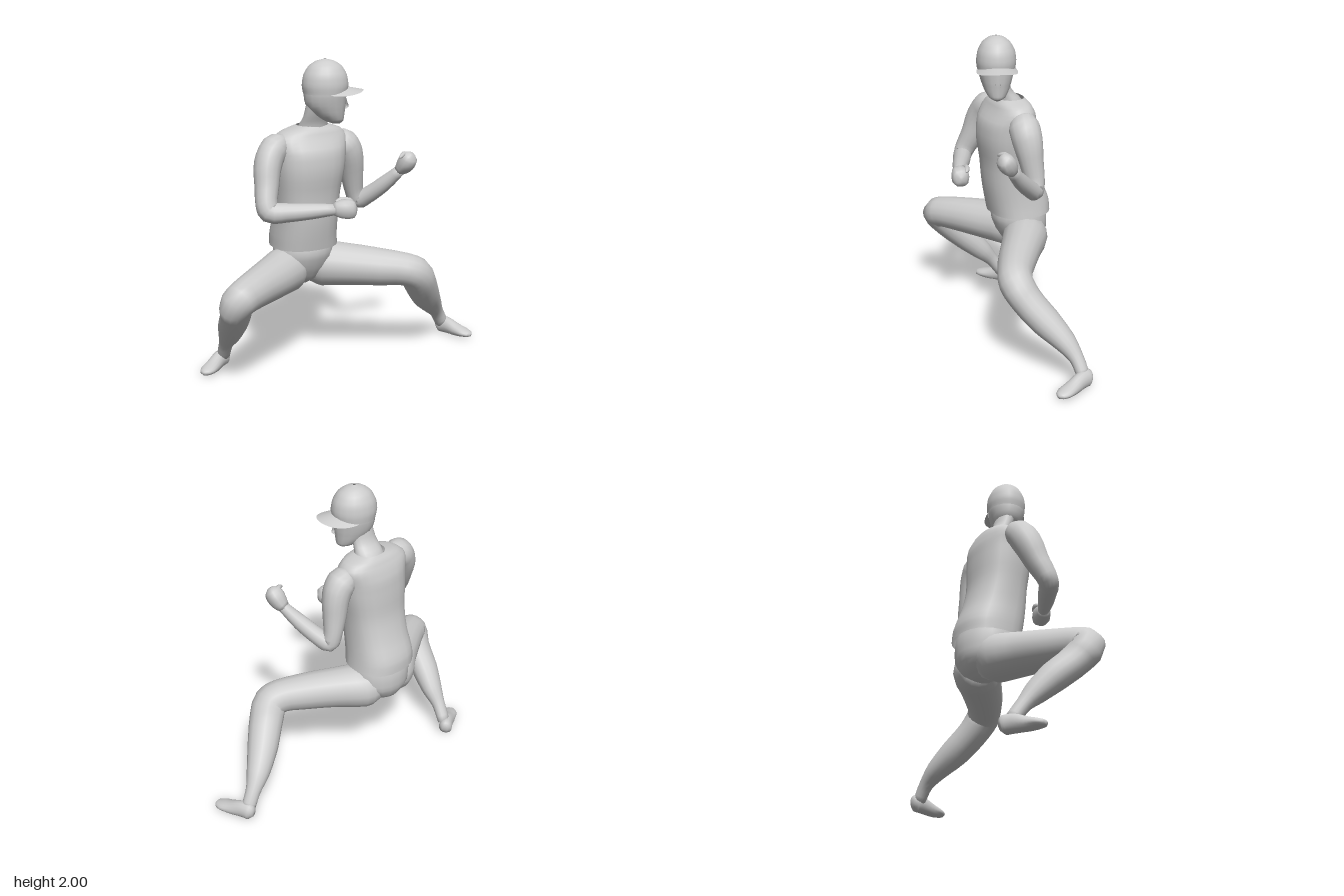
import * as THREE from 'three';

const V = (x, y, z) => new THREE.Vector3(x, y, z);
const grey = new THREE.MeshStandardMaterial({ color: 0xcccccc });
const greyOpen = new THREE.MeshStandardMaterial({ color: 0xcccccc, side: THREE.DoubleSide });

// Smooth body through oval stations [x, y, z, sideRadius, upRadius].
// ref: steady direction the rings are turned to; axis: fixed ring normal; power < 1 squares the oval.
function loft(name, stations, { ref, axis, power = 1, open = false, floor = -1, sub = 3, seg = 16 } = {}) {
  const path = new THREE.CatmullRomCurve3(stations.map(s => V(s[0], s[1], s[2])));
  const size = new THREE.CatmullRomCurve3(stations.map(s => V(s[3], s[4], 0)));
  const rows = (stations.length - 1) * sub;
  const pos = [], index = [];
  const bend = (v) => Math.sign(v) * Math.pow(Math.abs(v), power);
  for (let i = 0; i <= rows; i++) {
    const t = i / rows, c = path.getPoint(t), r = size.getPoint(t);
    const T = axis || path.getTangent(t);
    const side = ref.clone().cross(T).normalize();
    const up = T.clone().cross(side);
    for (let j = 0; j < seg; j++) {
      const a = j / seg * Math.PI * 2;
      const p = c.clone().addScaledVector(side, bend(Math.cos(a)) * r.x).addScaledVector(up, bend(Math.sin(a)) * r.y);
      pos.push(p.x, Math.max(p.y, floor), p.z);
    }
  }
  for (let i = 0; i < rows; i++) for (let j = 0; j < seg; j++) {
    const k = (j + 1) % seg, a = i * seg + j, b = i * seg + k;
    index.push(a, b, b + seg, a, b + seg, a + seg);
  }
  if (!open) {
    const n = pos.length / 3, last = rows * seg;
    for (const t of [0, 1]) { const p = path.getPoint(t); pos.push(p.x, Math.max(p.y, floor), p.z); }
    for (let j = 0; j < seg; j++) {
      const k = (j + 1) % seg;
      index.push(n, k, j, n + 1, last + j, last + k);
    }
  }
  const g = new THREE.BufferGeometry();
  g.setAttribute('position', new THREE.Float32BufferAttribute(pos, 3));
  g.setIndex(index);
  g.computeVertexNormals();
  const mesh = new THREE.Mesh(g, open ? greyOpen : grey);
  mesh.name = name;
  return mesh;
}

// Limb with one bend: rings follow the plane through its root, joint and end
function limb(name, stations, joint) {
  const [a, b, c] = [stations[1], stations[joint], stations[stations.length - 1]].map(s => V(s[0], s[1], s[2]));
  return loft(name, stations, { ref: b.clone().sub(a).cross(c.sub(b)).normalize() });
}

const X = V(1, 0, 0), Y = V(0, 1, 0), Z = V(0, 0, 1);
const upright = { ref: Z, axis: Y };

// Peak of the cap: a curved crescent in front of the crown
function makeBrim() {
  const g = new THREE.PlaneGeometry(1, 1, 18, 4), p = g.attributes.position;
  for (let i = 0; i < p.count; i++) {
    const a = p.getX(i) * Math.PI * 0.95, t = 0.5 - p.getY(i);
    const s = Math.sin(a), reach = t * Math.pow(Math.max(0, Math.cos(a)), 0.6);
    p.setXYZ(i, s * (0.122 + 0.03 * reach), 1.825 - 0.02 * reach - 0.035 * s * s, Math.cos(a) * 0.135 + 0.105 * reach);
  }
  g.computeVertexNormals();
  const m = new THREE.Mesh(g, greyOpen);
  m.name = 'capBrim';
  return m;
}

// Head turned towards the model's left, with cap
function makeHead() {
  const head = new THREE.Group();
  head.name = 'head';
  head.position.set(-0.168, 0, 0.04);
  head.rotation.y = 1.2;
  const nose = loft('nose', [[0, 1.77, 0.118, 0.01, 0.01], [0, 1.73, 0.125, 0.014, 0.014],
    [0, 1.7, 0.128, 0.02, 0.02], [0, 1.685, 0.115, 0.012, 0.01]], { ...upright, seg: 8 });
  head.add(
    loft('face', [[0, 1.597, 0.068, 0.02, 0.025], [0, 1.615, 0.055, 0.052, 0.06], [0, 1.66, 0.025, 0.08, 0.097],
      [0, 1.72, 0.003, 0.102, 0.127], [0, 1.8, 0, 0.118, 0.135], [0, 1.87, 0, 0.1, 0.12]], upright),
    loft('capCrown', [[0, 1.79, 0, 0.122, 0.138], [0, 1.84, 0, 0.127, 0.146], [0, 1.9, 0, 0.119, 0.137],
      [0, 1.955, 0, 0.09, 0.105], [0, 1.987, 0, 0.05, 0.058], [0, 2, 0, 0.008, 0.008]], { ...upright, open: true, seg: 20 }),
    nose, makeBrim());
  return head;
}

export function createModel() {
  const model = new THREE.Group();
  model.name = 'crouchingFigure';

  // Trunk
  model.add(
    loft('shirt', [[-0.23, 0.79, -0.145, 0.215, 0.2], [-0.235, 0.87, -0.135, 0.21, 0.205], [-0.235, 1.0, -0.1, 0.203, 0.19],
      [-0.235, 1.15, -0.075, 0.21, 0.175], [-0.23, 1.3, -0.06, 0.23, 0.18], [-0.225, 1.42, -0.06, 0.24, 0.17],
      [-0.22, 1.5, -0.07, 0.25, 0.135], [-0.21, 1.55, -0.07, 0.2, 0.11], [-0.2, 1.58, -0.07, 0.1, 0.085]],
      { ...upright, power: 0.85, open: true, seg: 24 }),
    loft('pelvis', [[-0.23, 0.86, -0.15, 0.18, 0.16], [-0.23, 0.75, -0.15, 0.2, 0.185], [-0.23, 0.65, -0.165, 0.19, 0.165],
      [-0.23, 0.57, -0.17, 0.12, 0.12], [-0.23, 0.525, -0.17, 0.03, 0.05]], { ref: Z, axis: V(0, -1, 0), seg: 20 }),
    loft('neck', [[-0.2, 1.5, -0.07, 0.11, 0.09], [-0.2, 1.57, -0.06, 0.098, 0.08], [-0.203, 1.64, -0.015, 0.085, 0.058],
      [-0.195, 1.74, 0.02, 0.085, 0.065]], upright),
    makeHead());

  // Legs, each one continuous from hip to ankle
  model.add(
    limb('rightLeg', [[-0.26, 0.63, -0.18, 0.1, 0.1], [-0.36, 0.635, -0.135, 0.148, 0.15], [-0.5, 0.632, -0.04, 0.13, 0.14],
      [-0.68, 0.62, 0.07, 0.118, 0.122], [-0.81, 0.605, 0.145, 0.108, 0.11], [-0.865, 0.58, 0.165, 0.112, 0.105],
      [-0.845, 0.49, 0.1, 0.105, 0.092], [-0.81, 0.38, -0.02, 0.096, 0.09], [-0.78, 0.27, -0.13, 0.075, 0.07],
      [-0.77, 0.18, -0.21, 0.048, 0.045], [-0.755, 0.08, -0.28, 0.045, 0.04]], 5),
    limb('leftLeg', [[-0.2, 0.63, -0.18, 0.1, 0.1], [-0.1, 0.635, -0.135, 0.148, 0.15], [0.05, 0.63, -0.03, 0.132, 0.14],
      [0.22, 0.615, 0.09, 0.12, 0.125], [0.35, 0.6, 0.17, 0.11, 0.11], [0.42, 0.57, 0.195, 0.112, 0.108],
      [0.49, 0.48, 0.16, 0.11, 0.1], [0.59, 0.36, 0.08, 0.1, 0.095], [0.7, 0.25, 0, 0.075, 0.07],
      [0.78, 0.16, -0.04, 0.048, 0.045], [0.835, 0.07, -0.055, 0.045, 0.04]], 5));

  // Feet: the same profile laid from heel to toe
  const profile = [[0, 0.045, 0.02, 0.025], [0.1, 0.052, 0.046, 0.06], [0.3, 0.052, 0.045, 0.058],
    [0.58, 0.036, 0.05, 0.044], [0.8, 0.03, 0.052, 0.03], [0.95, 0.025, 0.035, 0.02], [1, 0.02, 0.01, 0.01]];
  const foot = (name, hx, hz, tx, tz) => loft(name,
    profile.map(([k, y, w, h]) => [hx + (tx - hx) * k, y, hz + (tz - hz) * k, w, h]), { ref: Y, floor: 0 });
  model.add(foot('rightFoot', -0.715, -0.33, -0.95, -0.17), foot('leftFoot', 0.83, -0.105, 0.925, 0.165));

  // Arms, each one continuous from shoulder to wrist
  model.add(
    limb('rightArm', [[-0.39, 1.49, -0.07, 0.04, 0.05], [-0.48, 1.455, -0.05, 0.09, 0.095], [-0.54, 1.37, -0.025, 0.088, 0.095],
      [-0.575, 1.24, 0.02, 0.076, 0.08], [-0.602, 1.14, 0.065, 0.068, 0.068], [-0.595, 1.095, 0.09, 0.068, 0.062],
      [-0.5, 1.09, 0.14, 0.06, 0.058], [-0.37, 1.097, 0.21, 0.05, 0.05], [-0.24, 1.105, 0.275, 0.035, 0.038]], 5),
    limb('leftArm', [[-0.06, 1.48, -0.07, 0.04, 0.05], [0.025, 1.435, -0.06, 0.095, 0.1], [0.07, 1.36, -0.06, 0.09, 0.098],
      [0.1, 1.22, -0.075, 0.075, 0.078], [0.125, 1.1, -0.085, 0.06, 0.065], [0.145, 1.045, -0.075, 0.06, 0.058],
      [0.185, 1.08, -0.02, 0.055, 0.055], [0.25, 1.17, 0.08, 0.05, 0.05], [0.315, 1.275, 0.175, 0.034, 0.036]], 5));

  // Fists with thumbs
  model.add(
    loft('rightFist', [[-0.25, 1.105, 0.27, 0.034, 0.036], [-0.215, 1.107, 0.285, 0.05, 0.055], [-0.17, 1.105, 0.3, 0.058, 0.062],
      [-0.13, 1.1, 0.31, 0.05, 0.054], [-0.11, 1.1, 0.315, 0.015, 0.02]], { ref: Y, power: 0.8, seg: 12, sub: 2 }),
    loft('rightThumb', [[-0.22, 1.145, 0.255, 0.012, 0.012], [-0.18, 1.155, 0.25, 0.018, 0.018],
      [-0.13, 1.15, 0.27, 0.015, 0.015], [-0.115, 1.145, 0.28, 0.005, 0.005]], { ref: Y, seg: 8, sub: 2 }),
    loft('leftFist', [[0.308, 1.265, 0.165, 0.034, 0.036], [0.322, 1.295, 0.19, 0.05, 0.05], [0.332, 1.33, 0.215, 0.058, 0.055],
      [0.34, 1.365, 0.235, 0.048, 0.05], [0.345, 1.385, 0.25, 0.018, 0.02]], { ref: X, power: 0.8, seg: 12, sub: 2 }),
    loft('leftThumb', [[0.345, 1.375, 0.2, 0.012, 0.012], [0.31, 1.385, 0.215, 0.017, 0.015],
      [0.275, 1.375, 0.235, 0.013, 0.012], [0.26, 1.365, 0.24, 0.005, 0.005]], { ref: Y, seg: 8, sub: 2 }));

  return model;
}
